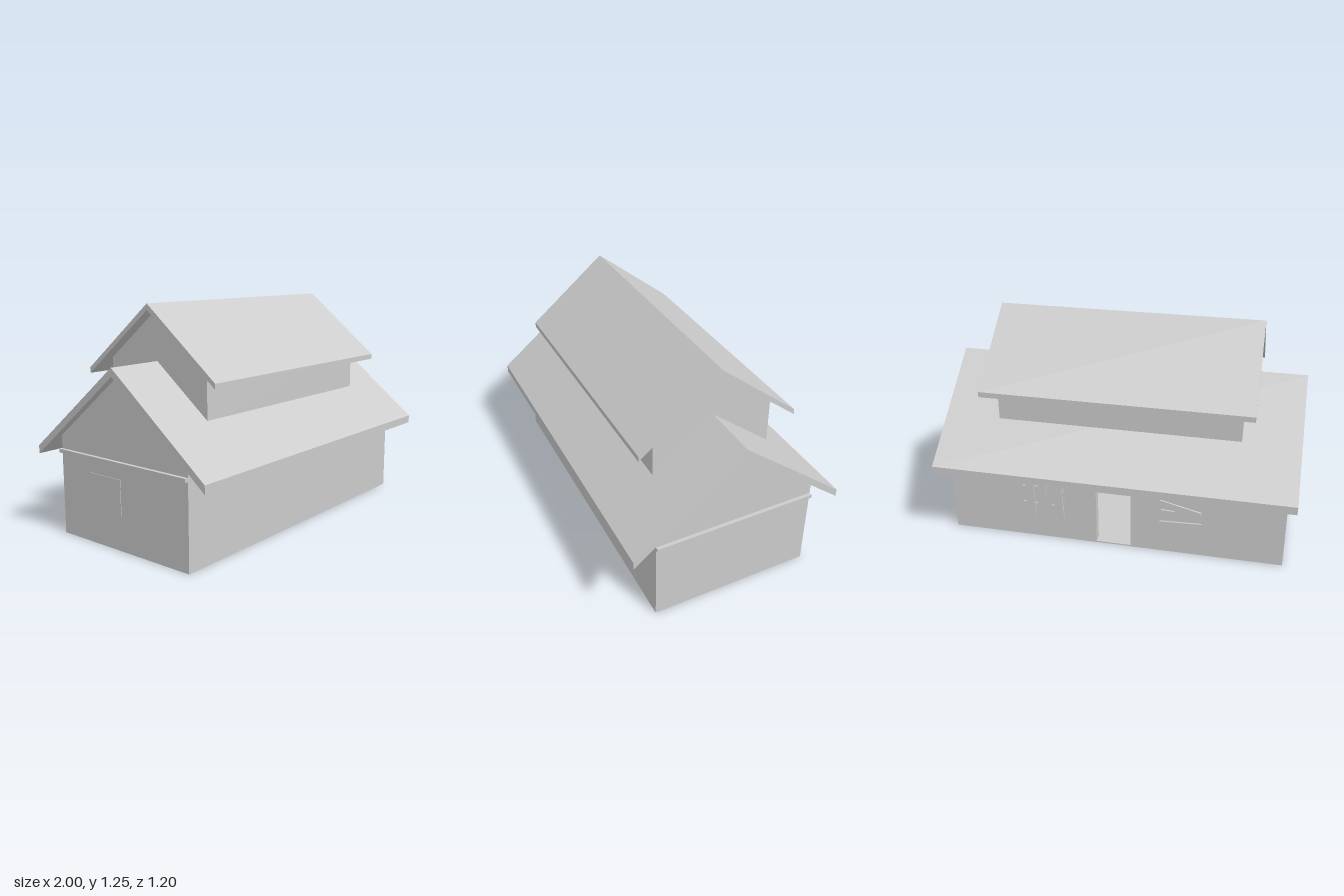
import * as THREE from 'three';

const material = new THREE.MeshStandardMaterial({ color: 0xcccccc, flatShading: true });

function add(parent, name, geometry, x = 0, y = 0, z = 0) {
  const mesh = new THREE.Mesh(geometry, material);
  mesh.name = name;
  mesh.position.set(x, y, z);
  parent.add(mesh);
  return mesh;
}

const box = (w, h, d) => new THREE.BoxGeometry(w, h, d);

// Extrudes a symmetric [z, y] outline along x, centred on x = 0
function alongX(points, length) {
  const shape = new THREE.Shape(points.map(([z, y]) => new THREE.Vector2(z, y)));
  const geometry = new THREE.ExtrudeGeometry(shape, { depth: length, bevelEnabled: false });
  return geometry.translate(0, 0, -length / 2).rotateY(Math.PI / 2);
}

// Chevron slab roof with upright eave edges
function roof(half, eaveLow, eaveHigh, ridgeLow, ridgeHigh, length) {
  return alongX([[-half, eaveLow], [0, ridgeLow], [half, eaveLow],
    [half, eaveHigh], [0, ridgeHigh], [-half, eaveHigh]], length);
}

// Crooked planks nailed over a window, facing -z; turn rotates the pattern
function boardedWindow(name, x, turn) {
  const group = new THREE.Group();
  group.name = name;
  group.position.set(x, 0.27, -0.457);
  add(group, 'windowPane', box(0.23, 0.19, 0.006));
  const planks = new THREE.Group();
  planks.name = 'planks';
  planks.rotation.z = turn;
  group.add(planks);
  // [offset x, offset y, width, height, tilt, layer]
  const layout = [
    [-0.06, -0.005, 0.035, 0.235, 0.04, 0],
    [0.055, -0.005, 0.035, 0.235, -0.05, 0],
    [0, 0.085, 0.235, 0.048, -0.06, 1],
    [0, -0.012, 0.225, 0.045, 0.05, 1],
    [0, -0.08, 0.235, 0.048, -0.04, 1],
    [0.005, 0.035, 0.235, 0.04, 0.24, 2],
  ];
  for (const [px, py, w, h, tilt, layer] of layout) {
    add(planks, 'plank', box(w, h, 0.01), px, py, -0.006 - layer * 0.0095).rotation.z = tilt;
  }
  return group;
}

export function createModel() {
  const house = new THREE.Group();
  house.name = 'house';

  // Hollow ground storey
  const wallX = 0.955, wallZ = 0.457, wallTop = 0.546, thick = 0.05;
  add(house, 'frontWall', box(wallX * 2, wallTop, thick), 0, wallTop / 2, wallZ - thick / 2);

  // Back wall with the doorway cut out
  const back = new THREE.Shape([[-wallX, 0], [-0.1, 0], [-0.1, 0.36], [0.1, 0.36],
    [0.1, 0], [wallX, 0], [wallX, wallTop], [-wallX, wallTop]]
    .map(([x, y]) => new THREE.Vector2(x, y)));
  add(house, 'backWall', new THREE.ExtrudeGeometry(back, { depth: thick, bevelEnabled: false }), 0, 0, -wallZ);

  add(house, 'floor', box(wallX * 2 - 0.002, 0.008, wallZ * 2 - 0.002), 0, 0.004, 0);
  add(house, 'ceiling', box(wallX * 2 - thick, 0.02, wallZ * 2 - thick), 0, 0.44, 0);

  // Gable ends, each with a horizontal trim beam
  const gable = [[-wallZ, 0], [wallZ, 0], [wallZ, wallTop], [0, 0.912], [-wallZ, wallTop]];
  for (const side of [-1, 1]) {
    add(house, 'gableWall', alongX(gable, thick), side * (wallX - thick / 2), 0, 0);
    add(house, 'gableBeam', box(0.02, 0.02, wallZ * 2), side * (wallX + 0.01), 0.465, 0);
  }

  // Window on the right-hand end
  add(house, 'sideWindow', box(0.006, 0.19, 0.23), -wallX, 0.285, -0.12);

  // Lower roof
  add(house, 'lowerRoof', roof(0.6, 0.432, 0.477, 0.91, 0.955, 2));

  // Raised upper storey sitting astride the lower ridge
  const upper = [[-0.34, 0.66], [0, 0.93], [0.34, 0.66], [0.34, 0.948], [0, 1.221], [-0.34, 0.948]];
  add(house, 'upperWalls', alongX(upper, 1.365));
  add(house, 'upperRoof', roof(0.45, 0.86, 0.89, 1.22, 1.253, 1.5));

  // Boarded windows either side of the back doorway
  house.add(boardedWindow('leftBoardedWindow', 0.4, Math.PI / 2));
  house.add(boardedWindow('rightBoardedWindow', -0.385, 0));

  return house;
}
